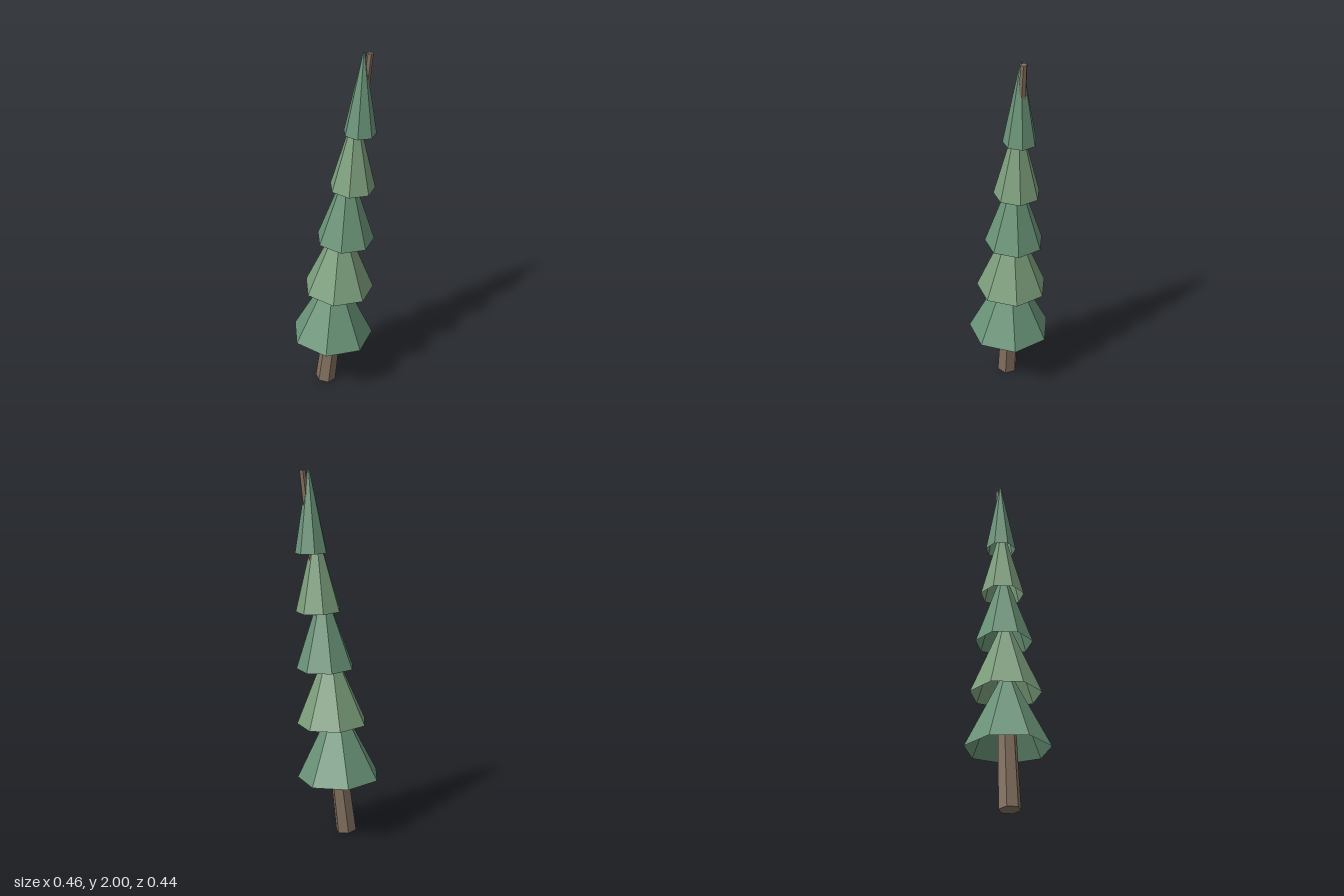
import * as THREE from 'three';

const mat = (color) => new THREE.MeshStandardMaterial({ color, flatShading: true, side: THREE.DoubleSide });

export function createModel() {
  const tree = new THREE.Group();
  tree.name = 'leaningFir';

  // Six-sided tapering trunk, leaning towards +x and poking out beside the tip
  const base = new THREE.Vector3(-0.045, 0.006, 0.01);
  const top = new THREE.Vector3(0.19, 1.993, 0.01);
  const length = base.distanceTo(top);
  const trunk = new THREE.Mesh(new THREE.CylinderGeometry(0.017, 0.058, length, 6), mat(0x83705f));
  trunk.name = 'trunk';
  trunk.position.addVectors(base, top).multiplyScalar(0.5);
  trunk.rotation.z = -Math.atan2(top.x - base.x, top.y - base.y);
  tree.add(trunk);

  // Five hollow seven-sided skirts of branches, shrinking and stepping along the lean
  const greens = [mat(0x6a9478), mat(0x7d9f7d)];
  const height = 0.43;
  for (let i = 0; i < 5; i++) {
    const radius = 0.229 - 0.0355 * i;
    const geo = new THREE.CylinderGeometry(radius * 0.06, radius, height, 7, 1, true, Math.PI);
    geo.translate(0, height / 2, 0);
    const skirt = new THREE.Mesh(geo, greens[i % 2]);
    skirt.name = `branchTier${i + 1}`;
    skirt.position.set(-0.005 + 0.037 * i, 0.328 + 0.31 * i, 0.01);
    skirt.rotation.z = -0.034;
    tree.add(skirt);
  }
  return tree;
}
